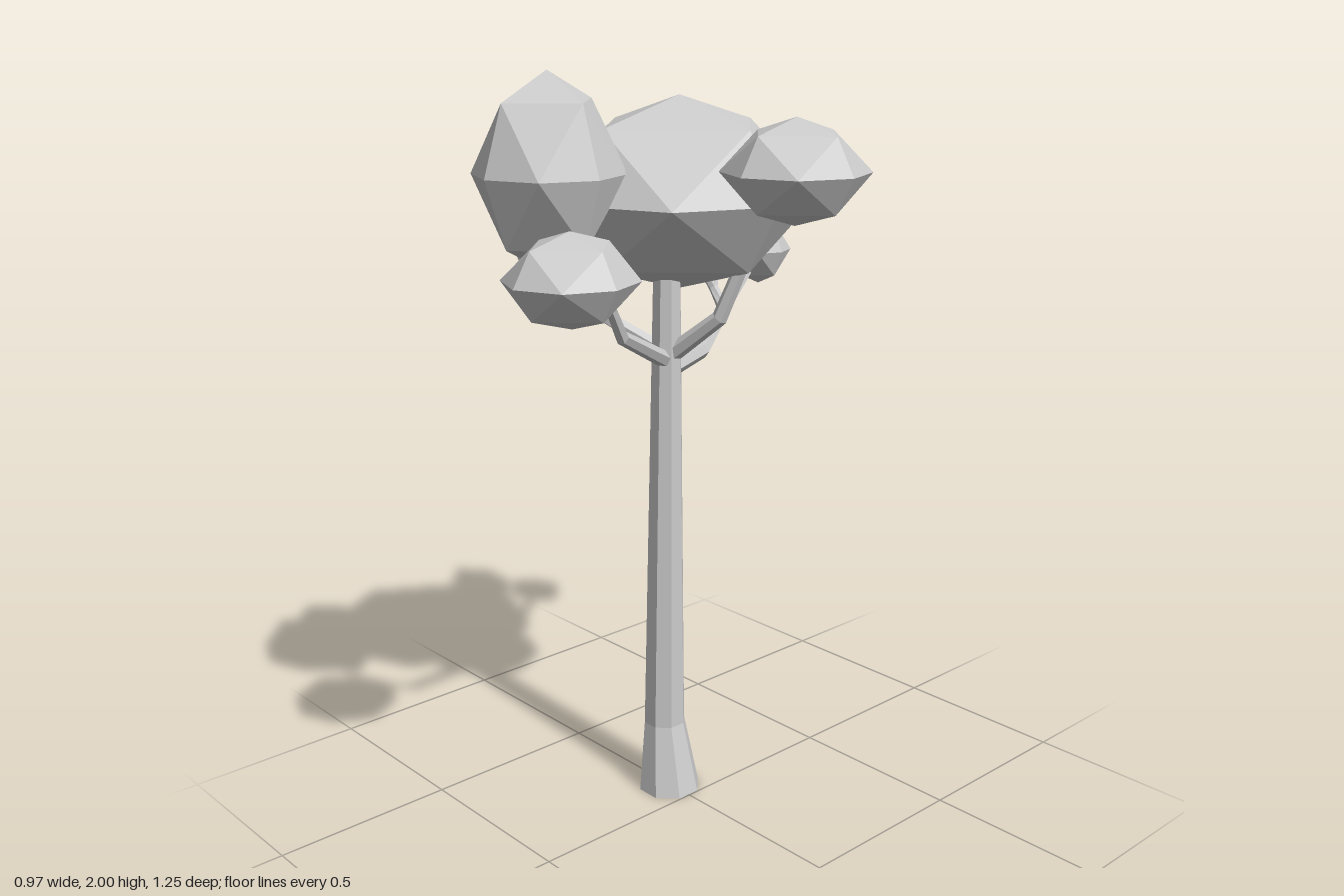
import * as THREE from 'three';
import { ConvexGeometry } from 'three/addons/geometries/ConvexGeometry.js';

const UP = new THREE.Vector3(0, 1, 0);
const material = new THREE.MeshStandardMaterial({ color: 0xcccccc, flatShading: true });
const woodMaterial = new THREE.MeshStandardMaterial({ color: 0xcccccc, flatShading: true, side: THREE.DoubleSide });

// Lofts rings along bent points [x, y, z, radius]; level keeps every ring horizontal.
function loft(points, sides, level = false) {
  const centres = points.map(([x, y, z]) => new THREE.Vector3(x, y, z));
  const positions = [], index = [];
  centres.forEach((centre, i) => {
    const before = centres[Math.max(i - 1, 0)];
    const after = centres[Math.min(i + 1, centres.length - 1)];
    const tangent = level ? UP : after.clone().sub(before).normalize();
    const turn = new THREE.Quaternion().setFromUnitVectors(UP, tangent);
    for (let s = 0; s < sides; s++) {
      const a = ((s + 0.5) / sides) * Math.PI * 2;
      const p = new THREE.Vector3(Math.cos(a), 0, Math.sin(a))
        .multiplyScalar(points[i][3]).applyQuaternion(turn).add(centre);
      positions.push(p.x, p.y, p.z);
      if (i === 0) continue;
      const b = i * sides + s, c = i * sides + ((s + 1) % sides);
      index.push(b - sides, b, c, b - sides, c, c - sides);
    }
  });
  const geometry = new THREE.BufferGeometry();
  geometry.setAttribute('position', new THREE.Float32BufferAttribute(positions, 3));
  geometry.setIndex(index);
  geometry.computeVertexNormals();
  return geometry;
}

// Twelve-faced crystal clump, square seen from above.
function crystalClump(a, h) {
  const points = [new THREE.Vector3(0, h, 0), new THREE.Vector3(0, -h, 0)];
  for (const s of [-1, 1]) {
    for (const t of [-1, 1]) {
      points.push(
        new THREE.Vector3(s * a, 0, t * a),
        new THREE.Vector3(s * a, t * h / 2, 0),
        new THREE.Vector3(0, t * h / 2, s * a));
    }
  }
  return new ConvexGeometry(points);
}

export function createModel() {
  const tree = new THREE.Group();
  tree.name = 'tree';
  const add = (name, geometry, mat) => {
    const mesh = new THREE.Mesh(geometry, mat);
    mesh.name = name;
    tree.add(mesh);
    return mesh;
  };

  // Trunk with a flared foot
  add('trunk', loft([
    [-0.085, 0, 0, 0.088],
    [-0.104, 0.2, 0, 0.059],
    [-0.085, 1.5, 0, 0.037],
  ], 8, true), woodMaterial);

  // Bent, tapering branches
  const branches = {
    backBranch: [[-0.085, 1.225, 0, 0.025], [-0.19, 1.225, -0.22, 0.024], [-0.25, 1.33, -0.38, 0.018], [-0.285, 1.43, -0.52, 0.012]],
    frontBranch: [[-0.085, 1.25, 0, 0.023], [0.03, 1.37, 0.25, 0.018], [0.06, 1.48, 0.32, 0.014], [0.1, 1.55, 0.44, 0.01]],
    leftFrontBranch: [[-0.085, 1.27, 0, 0.022], [-0.25, 1.37, 0.1, 0.018], [-0.29, 1.52, 0.17, 0.012]],
    rightBranch: [[-0.085, 1.26, 0, 0.025], [0.06, 1.38, -0.05, 0.021], [0.11, 1.52, -0.08, 0.018], [0.26, 1.74, -0.07, 0.012]],
    backTwig: [[-0.24, 1.32, -0.35, 0.016], [-0.32, 1.36, -0.39, 0.014], [-0.37, 1.48, -0.34, 0.01]],
    crystalTwig: [[-0.32, 1.36, -0.39, 0.014], [-0.36, 1.48, -0.43, 0.01]],
  };
  for (const [name, points] of Object.entries(branches)) add(name, loft(points, 6), woodMaterial);

  // Foliage clumps: centre x, y, z, horizontal radius, vertical radius
  const clumps = {
    mainCrown: [-0.105, 1.68, -0.063, 0.36, 0.247],
    sideClump: [0.3, 1.768, -0.067, 0.183, 0.128],
    lowFrontClump: [0.104, 1.548, 0.462, 0.163, 0.113],
    tallFrontClump: [-0.142, 1.757, 0.327, 0.191, 0.243],
    middleFrontClump: [-0.31, 1.672, 0.193, 0.155, 0.217],
    backClump: [-0.286, 1.46, -0.537, 0.093, 0.1],
    smallBackClump: [-0.37, 1.52, -0.335, 0.115, 0.085],
  };
  for (const [name, [x, y, z, r, h]] of Object.entries(clumps)) {
    const geometry = new THREE.OctahedronGeometry(1, 1);
    geometry.scale(r, h, r);
    add(name, geometry, material).position.set(x, y, z);
  }
  add('crystalClump', crystalClump(0.08, 0.205), material).position.set(-0.36, 1.615, -0.43);

  return tree;
}
